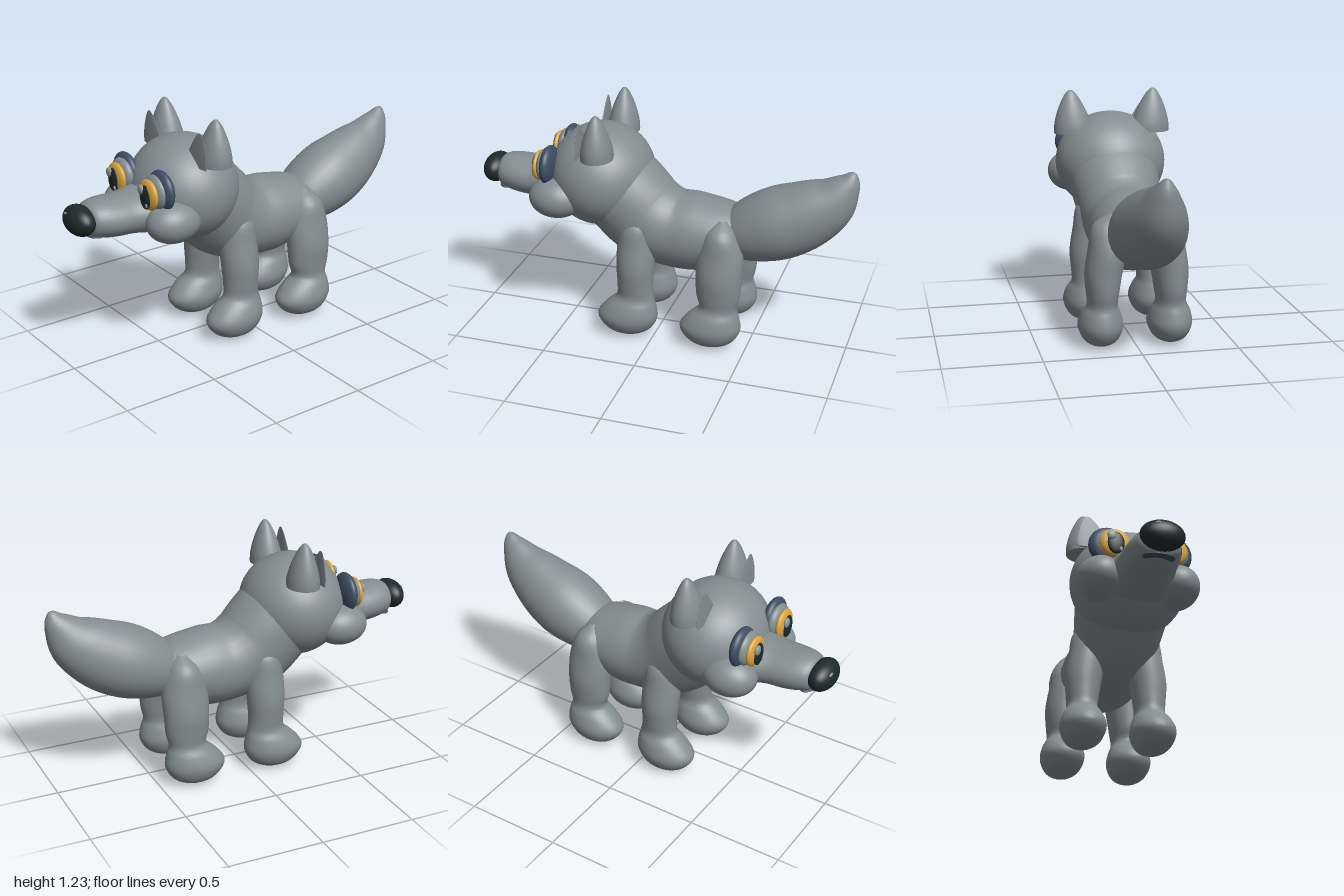
import * as THREE from 'three';

const mat = (name, color) => {
  const m = new THREE.MeshStandardMaterial({ color });
  m.name = name;
  return m;
};

// Smooth tube of elliptical rings; each section is [x, y, z, halfWidth, halfDepth].
// Rings follow the path unless a fixed axis is given.
function loft(sections, axis, steps = 40, sides = 32) {
  const path = new THREE.CatmullRomCurve3(sections.map(s => new THREE.Vector3(s[0], s[1], s[2])), false, 'catmullrom', 0.5);
  const radii = new THREE.CatmullRomCurve3(sections.map(s => new THREE.Vector3(s[3], s[4], 0)), false, 'catmullrom', 0.5);
  const pos = [], index = [];
  for (let i = 0; i <= steps; i++) {
    const p = path.getPoint(i / steps), r = radii.getPoint(i / steps);
    const t = axis ? axis.clone() : path.getTangent(i / steps);
    const side = new THREE.Vector3(1, 0, 0).addScaledVector(t, -t.x).normalize();
    const up = t.clone().cross(side);
    for (let j = 0; j < sides; j++) {
      const a = j / sides * Math.PI * 2;
      const v = p.clone()
        .addScaledVector(side, Math.max(r.x, 0.001) * Math.cos(a))
        .addScaledVector(up, Math.max(r.y, 0.001) * Math.sin(a));
      pos.push(v.x, v.y, v.z);
      if (i < steps) {
        const k = i * sides, n = (j + 1) % sides;
        index.push(k + j, k + n, k + sides + j, k + n, k + sides + n, k + sides + j);
      }
    }
  }
  const g = new THREE.BufferGeometry();
  g.setAttribute('position', new THREE.Float32BufferAttribute(pos, 3));
  g.setIndex(index);
  g.computeVertexNormals();
  return g;
}

export function createModel() {
  const fur = mat('grey fur', 0x848e92);
  const blue = mat('slate blue', 0x3d4e61);
  const amber = mat('amber iris', 0xdba43c);
  const black = mat('soft black', 0x1e2a2b);
  const shine = mat('pale shine', 0x8d989c);

  const model = new THREE.Group();
  model.name = 'wolfCub';
  const add = (name, geometry, material) => {
    const m = new THREE.Mesh(geometry, material);
    m.name = name;
    model.add(m);
    return m;
  };
  const ball = (name, material, [x, y, z], [rx, ry, rz]) => {
    const m = add(name, new THREE.SphereGeometry(1, 40, 28), material);
    m.position.set(x, y, z);
    m.scale.set(rx, ry, rz);
    return m;
  };

  // Torso rising into the neck
  add('torso', loft([
    [0, 0.57, -0.47, 0.01, 0.01], [0, 0.57, -0.45, 0.12, 0.10], [0, 0.575, -0.37, 0.19, 0.16],
    [0, 0.565, -0.2, 0.21, 0.205], [0, 0.57, -0.05, 0.207, 0.21], [0, 0.625, 0.09, 0.22, 0.23],
    [0, 0.73, 0.2, 0.24, 0.23], [0, 0.82, 0.29, 0.25, 0.22],
  ]), fur);

  // Bushy tail, sweeping up to a point
  add('tail', loft([
    [0, 0.57, -0.32, 0.11, 0.10], [0, 0.605, -0.45, 0.165, 0.16], [0, 0.665, -0.6, 0.187, 0.19],
    [0, 0.73, -0.74, 0.165, 0.18], [0, 0.82, -0.87, 0.12, 0.14], [0, 0.92, -0.95, 0.065, 0.075],
    [0, 0.98, -0.98, 0.025, 0.028], [0, 0.997, -0.987, 0.001, 0.001],
  ]), fur);

  // Head, muzzle, nose and mouth
  ball('head', fur, [0, 0.83, 0.33], [0.297, 0.27, 0.275]);
  add('muzzle', loft([
    [0, 0.77, 0.5, 0.22, 0.13], [0, 0.77, 0.6, 0.175, 0.115], [0, 0.77, 0.68, 0.147, 0.104],
    [0, 0.772, 0.76, 0.14, 0.102], [0, 0.777, 0.83, 0.126, 0.098], [0, 0.78, 0.885, 0.1, 0.082],
    [0, 0.78, 0.91, 0.05, 0.045], [0, 0.78, 0.915, 0.001, 0.001],
  ], new THREE.Vector3(0, 0, 1)), fur);
  ball('nose', black, [0, 0.787, 0.932], [0.111, 0.076, 0.068]);
  ball('noseShine', shine, [-0.035, 0.825, 0.986], [0.015, 0.006, 0.006]).rotation.z = 0.2;
  ball('mouth', blue, [0, 0.706, 0.865], [0.082, 0.011, 0.045]);

  // Ear profile: rounded base drawn up to a tip
  const earShape = new THREE.SplineCurve([
    [0.104, 0], [0.099, 0.05], [0.077, 0.12], [0.043, 0.19], [0.018, 0.223], [0, 0.232],
  ].map(p => new THREE.Vector2(...p))).getPoints(24);
  earShape.unshift(new THREE.Vector2(0, 0), new THREE.Vector2(0.103, 0));
  const ear = (name, s, x, z, sx, sy, sz, lean) => {
    const g = new THREE.LatheGeometry(earShape, 32);
    const p = g.attributes.position;
    for (let i = 0; i < p.count; i++) p.setX(i, p.getX(i) + s * lean * p.getY(i) / 0.232);
    g.computeVertexNormals();
    const m = add(name, g, fur);
    m.position.set(s * x, 0.997, z);
    m.scale.set(sx, sy, sz);
  };

  // Vertical leg swelling into a rounded paw
  const leg = (name, s, z, dz, rz) => add(name, loft([
    [0.12, 0.7, z, 0.02, 0.02], [0.135, 0.64, z, 0.09, 0.08], [0.15, 0.52, z, 0.097, rz],
    [0.17, 0.4, z, 0.095, rz], [0.175, 0.3, z, 0.084, rz - 0.005], [0.177, 0.23, z, 0.078, 0.1],
    [0.18, 0.18, z + dz * 0.5, 0.1, 0.133], [0.18, 0.11, z + dz, 0.115, 0.162],
    [0.18, 0.045, z + dz, 0.09, 0.125], [0.18, 0.012, z + dz, 0.045, 0.06],
    [0.18, 0, z + dz, 0.001, 0.001],
  ].map(([x, ...rest]) => [s * x, ...rest]), new THREE.Vector3(0, -1, 0)), fur);

  for (const [side, s] of [['left', 1], ['right', -1]]) {
    ball(side + 'Cheek', fur, [s * 0.195, 0.745, 0.52], [0.118, 0.107, 0.145]);
    ear(side + 'Ear', s, 0.208, 0.285, 1, 1, 0.8, 0.017);
    ear(side + 'InnerEar', s, 0.19, 0.378, 0.83, 0.77, 0.08, 0.04);
    leg(side + 'FrontLeg', s, 0.1, 0.042, 0.1);
    leg(side + 'HindLeg', s, -0.35, 0.04, 0.12);

    // Eye: stacked flat discs from brow patch to pupil
    ball(side + 'BrowPatch', blue, [s * 0.163, 0.905, 0.565], [0.103, 0.104, 0.042]);
    ball(side + 'Eyelid', fur, [s * 0.15, 0.9, 0.592], [0.091, 0.087, 0.04]);
    ball(side + 'Iris', amber, [s * 0.146, 0.893, 0.628], [0.077, 0.078, 0.026]);
    ball(side + 'Pupil', black, [s * 0.147, 0.885, 0.648], [0.043, 0.061, 0.014]);
    ball(side + 'EyeShine', shine, [s * 0.146 - 0.024, 0.92, 0.656], [0.024, 0.026, 0.012]);
    ball(side + 'EyeGlint', shine, [s * 0.146 + 0.022, 0.85, 0.656], [0.009, 0.013, 0.006]);
  }
  return model;
}
